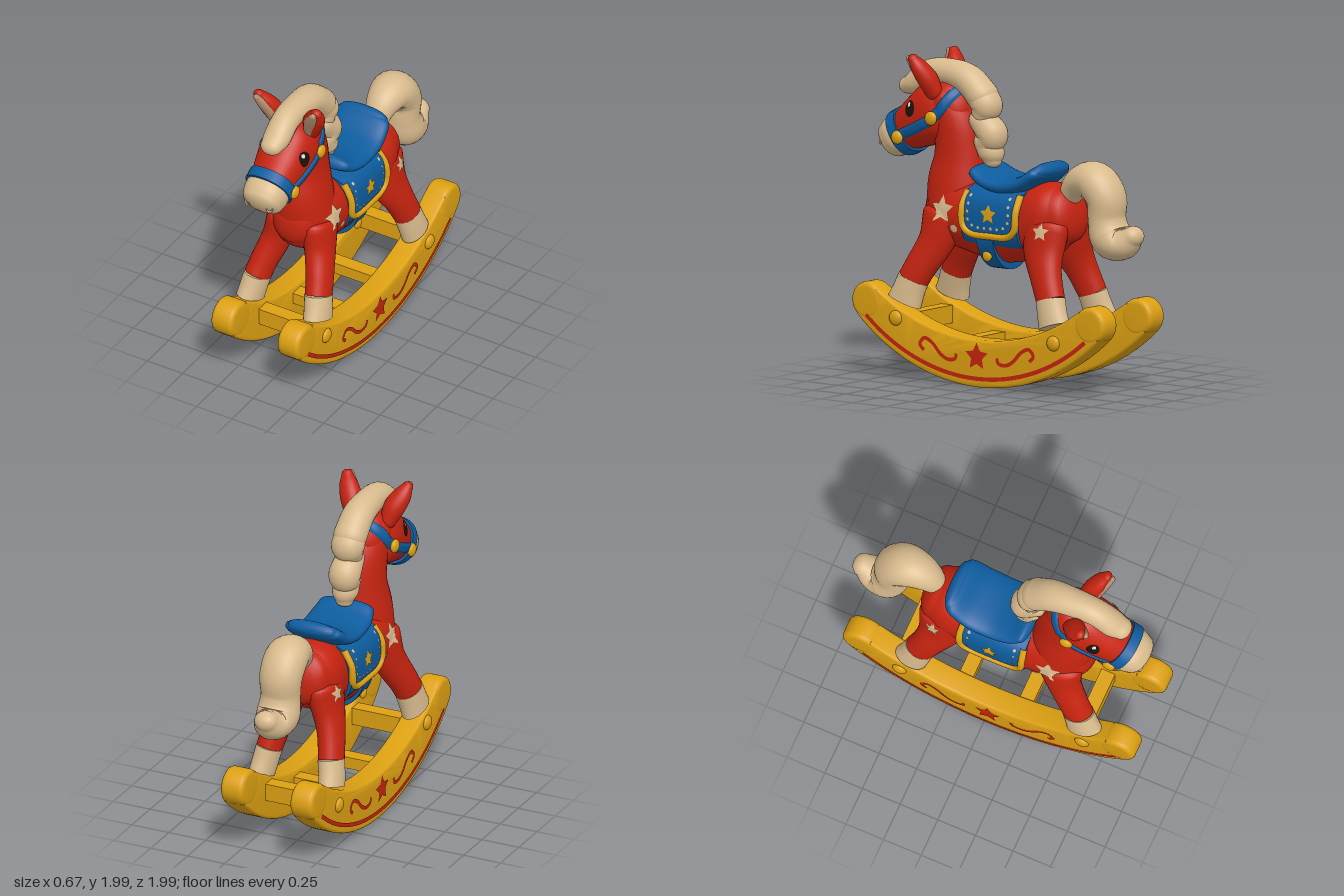
import * as THREE from 'three';
import { mergeGeometries, mergeVertices, toCreasedNormals } from 'three/addons/utils/BufferGeometryUtils.js';

const V = (x, y, z) => new THREE.Vector3(x, y, z);
const paint = (name, color) => Object.assign(new THREE.MeshStandardMaterial({ color }), { name });

// Skin over rows of [x, y, z, half width, half height], with domed ends of the given depths
function loft(rows, caps = [1, 1], e = 2, seg = 28) {
  const path = new THREE.CatmullRomCurve3(rows.map(r => V(r[0], r[1], r[2])), false, 'catmullrom');
  const size = new THREE.CatmullRomCurve3(rows.map(r => V(r[3], r[4], 0)), false, 'catmullrom');
  const rings = [], n = (rows.length - 1) * 6, dome = 6;
  for (let i = -dome; i <= n + dome; i++) {
    const t = Math.min(1, Math.max(0, i / n)), T = path.getTangent(t), s = size.getPoint(t);
    const over = i < 0 ? i : Math.max(0, i - n), phi = over / dome * Math.PI / 2;
    const depth = caps[i < 0 ? 0 : 1] * Math.min(s.x, s.y), k = Math.max(0, Math.cos(phi));
    rings.push({ c: path.getPoint(t).addScaledVector(T, depth * Math.sin(phi)), T, rx: s.x * k, ry: s.y * k });
  }
  const pos = [], idx = [], pw = c => Math.sign(c) * Math.abs(c) ** (2 / e);
  rings.forEach(({ c, T, rx, ry }, i) => {
    const side = V(1, 0, 0).addScaledVector(T, -T.x).normalize(), up = T.clone().cross(side);
    for (let j = 0; j < seg; j++) {
      const a = j / seg * 2 * Math.PI;
      const p = c.clone().addScaledVector(side, rx * pw(Math.cos(a))).addScaledVector(up, ry * pw(Math.sin(a)));
      pos.push(p.x, p.y, p.z);
      if (i === rings.length - 1) continue;
      const q = i * seg + j, r = i * seg + (j + 1) % seg;
      idx.push(q, r, q + seg, r, r + seg, q + seg);
    }
  });
  const g = new THREE.BufferGeometry();
  g.setAttribute('position', new THREE.Float32BufferAttribute(pos, 3));
  g.setIndex(idx);
  return toCreasedNormals(g, 0.9);
}

// Outermost x of the given meshes at a point of the side profile
function surface(...meshes) {
  const ray = new THREE.Raycaster();
  return (z, y) => {
    ray.set(V(2, y, z), V(-1, 0, 0));
    const hit = ray.intersectObjects(meshes)[0];
    return hit ? Math.max(hit.point.x, 0.05) : 0.05;
  };
}

// Thin sheet laid on a surface; at(u, v) gives [z, y]
function drape(at, nu, nv, xAt, lift = () => 0.006) {
  const pos = [], idx = [];
  for (let i = 0; i <= nu; i++) for (let j = 0; j <= nv; j++) {
    const [z, y] = at(i / nu, j / nv);
    pos.push(xAt(z, y) + lift(j / nv), y, z);
    const a = i * (nv + 1) + j, b = a + nv + 1;
    if (i < nu && j < nv) idx.push(a, b, a + 1, b, b + 1, a + 1);
  }
  const g = new THREE.BufferGeometry();
  g.setAttribute('position', new THREE.Float32BufferAttribute(pos, 3));
  g.setIndex(idx);
  g.computeVertexNormals();
  const nm = g.attributes.normal;
  let sum = 0;
  for (let i = 0; i < nm.count; i++) sum += nm.getX(i);
  if (sum < 0) { g.setIndex(idx.reverse()); g.computeVertexNormals(); }
  return g;
}
const star = (z, y, R, xAt) => drape((u, v) => {
  const a = Math.PI / 2 + u * 2 * Math.PI, r = R * v * (Math.round(u * 10) % 2 ? 0.5 : 1);
  return [z + r * Math.cos(a), y + r * Math.sin(a)];
}, 10, 4, xAt);
const disc = (z, y, rz, ry, xAt, lift = 0.006, n = 16) => drape((u, v) =>
  [z + rz * v * Math.cos(u * 2 * Math.PI), y + ry * v * Math.sin(u * 2 * Math.PI)], n, 3, xAt, () => lift);
function ribbon(pts, w, xAt, n, lift) {
  const c = new THREE.CatmullRomCurve3(pts.map(([z, y]) => V(0, y, z)));
  return drape((u, v) => {
    const p = c.getPoint(u), t = c.getTangent(u), k = (v - 0.5) * w;
    return [p.z - t.y * k, p.y + t.z * k];
  }, n, 6, xAt, lift);
}

// Side-profile shape given thickness along x with rounded edges
function slab(shape, x, width, bevel) {
  const g = new THREE.ExtrudeGeometry(shape, { depth: width - 2 * bevel, bevelSize: bevel, bevelThickness: bevel,
    bevelOffset: -bevel, bevelSegments: 4, curveSegments: 24 });
  g.translate(0, 0, -width / 2 + bevel).rotateY(-Math.PI / 2).translate(x, 0, 0);
  return toCreasedNormals(g, 0.7);
}
const knob = (x, y, z, r) => new THREE.SphereGeometry(r, 20, 14).scale(0.55, 1, 1).translate(x, y, z);

function mirrored(g) {
  const m = mergeVertices(g.clone());
  m.scale(-1, 1, 1);
  m.setIndex(Array.from(m.index.array).reverse());
  const nm = m.attributes.normal, p = mergeVertices(g).attributes.normal;
  for (let i = 0; i < nm.count; i++) nm.setXYZ(i, -p.getX(i), p.getY(i), p.getZ(i));
  return m;
}

export function createModel() {
  const model = new THREE.Group();
  model.name = 'rockingHorse';
  const red = paint('red', 0xc5230f), blue = paint('blue', 0x0d5c9e), yellow = paint('yellow', 0xdca012);
  const cream = paint('cream', 0xd9bb8e), dark = paint('dark', 0x1c100d), white = paint('white', 0xf0ece4);
  const earPink = paint('innerEar', 0xb28a6c);
  const add = (name, geo, mat) => {
    const m = new THREE.Mesh(geo, mat);
    m.name = name;
    model.add(m);
    return m;
  };
  const pair = (name, geo, mat) => {
    add(name + 'Right', mirrored(geo), mat);
    return add(name + 'Left', geo, mat);
  };

  // Body, neck and head
  const body = add('body', loft([[0, 1.06, .5, .15, .17], [0, 1.04, .4, .2, .215], [0, 1, .2, .205, .225], [0, .96, .03, .2, .215],
    [0, 1, -.18, .2, .215], [0, 1.06, -.33, .205, .215], [0, 1.08, -.43, .17, .175]], [.7, .55], 2.1, 40), red);
  const neck = add('neck', loft([[0, 1, .4, .2, .19], [0, 1.2, .4, .175, .2], [0, 1.38, .39, .147, .165],
    [0, 1.55, .41, .145, .15], [0, 1.7, .46, .15, .12]]), red);
  const head = add('head', loft([[0, 1.67, .44, .14, .17], [0, 1.63, .53, .168, .2], [0, 1.56, .66, .16, .168],
    [0, 1.49, .78, .135, .13]], [1, 0], 2.3, 36), red);
  const muzzle = add('muzzle', loft([[0, 1.49, .78, .134, .129], [0, 1.45, .85, .14, .13], [0, 1.425, .89, .128, .118]], [0, .5], 2.3), cream);

  // Legs and hooves
  const front = [[.12, 1, .42, .1, .15], [.15, .85, .46, .09, .118], [.195, .7, .54, .082, .103], [.215, .61, .588, .08, .1]];
  const rear = [[.11, 1, -.35, .1, .16], [.14, .85, -.36, .09, .14], [.18, .72, -.405, .082, .108], [.21, .575, -.465, .078, .095]];
  const frontLeg = pair('frontLeg', loft(front, [.6, 0]), red);
  const rearLeg = pair('rearLeg', loft(rear, [.6, 0]), red);
  pair('frontHoof', loft([[.215, .615, .586, .082, .103], [.228, .54, .612, .08, .108], [.238, .475, .634, .078, .118]], [0, 0]), cream);
  pair('rearHoof', loft([[.209, .58, -.464, .08, .097], [.224, .5, -.487, .078, .1], [.236, .425, -.512, .076, .107]], [0, 0]), cream);

  // Ears
  const ear = [[.12, 1.76, .5, .05, .055], [.145, 1.84, .53, .068, .06], [.18, 1.91, .565, .06, .05], [.205, 1.965, .595, .035, .03]];
  pair('ear', loft(ear), red);
  pair('innerEar', loft(ear.map(([x, y, z, a, b]) => [x - .005, y, z + .035, a * .6, b * .6])), earPink);

  // Mane with forelock, and tail
  add('mane', loft([[0, 1.765, .785, .07, .055], [0, 1.79, .72, .085, .075], [0, 1.86, .61, .085, .08], [0, 1.87, .47, .09, .085],
    [0, 1.84, .33, .1, .092], [0, 1.75, .22, .105, .095]], [1, 1]), cream);
  add('maneCurls', mergeGeometries([
    loft([[0, 1.76, .26, .09, .08], [0, 1.7, .19, .105, .095], [0, 1.64, .2, .09, .08]]),
    loft([[0, 1.6, .22, .09, .08], [0, 1.52, .145, .1, .095], [0, 1.46, .17, .085, .08]]),
    loft([[0, 1.47, .19, .08, .075], [0, 1.4, .15, .08, .08], [0, 1.35, .14, .055, .055]], [1, .7])]), cream);
  add('tail', loft([[0, 1.17, -.43, .06, .06], [0, 1.28, -.52, .105, .095], [0, 1.305, -.64, .135, .12], [0, 1.21, -.73, .135, .118],
    [0, 1.08, -.735, .125, .112], [0, .97, -.77, .135, .128], [0, .94, -.86, .115, .1], [0, .99, -.935, .075, .065]]), cream);

  // Face
  const headX = surface(head, neck);
  pair('eye', disc(.657, 1.647, .04, .05, headX), dark);
  pair('eyeGlint', disc(.665, 1.672, .012, .014, headX, .01), white);
  const nostril = new THREE.TorusGeometry(.026, .006, 8, 20).scale(.75, 1.25, 1).rotateX(-.2).rotateY(.35).translate(.078, 1.43, .935);
  pair('nostril', nostril, cream);

  // Bridle
  add('noseband', loft([[0, 1.499, .763, .152, .15], [0, 1.466, .823, .152, .15]], [0, 0], 2.3), blue);
  pair('cheekStrap', ribbon([[.77, 1.465], [.62, 1.53], [.485, 1.605], [.42, 1.68], [.355, 1.785]], .07, headX, 30,
    v => .014 * (1 - (2 * v - 1) ** 8) - .002), blue);
  pair('bridleKnobs', mergeGeometries([knob(headX(.485, 1.605) + .012, 1.605, .485, .043), knob(.152, 1.46, .76, .042)]), yellow);

  // Girth, saddle cloth and saddle
  add('girth', loft([[0, .955, .11, .212, .25], [0, .955, .05, .212, .25], [0, .955, -.015, .212, .25]], [0, 0], 2, 40), blue);
  pair('girthKnob', knob(.172, .8, .052, .034), yellow);
  const cloth = add('saddleCloth', loft([[0, 1.03, .218, .222, .19], [0, 1.03, .1, .228, .2], [0, 1.03, -.1, .228, .2],
    [0, 1.03, -.21, .222, .19]], [0, 0], 3, 48), blue);
  const clothX = surface(cloth, body);
  const edge = [[.205, 1.19], [.21, 1.09], [.2, .98], [.15, .938], [0, .93], [-.14, .938], [-.19, .98], [-.202, 1.09], [-.197, 1.19]];
  pair('clothTrim', new THREE.TubeGeometry(new THREE.CatmullRomCurve3(edge.map(([z, y]) => V(clothX(z, y), y, z))), 60, .022, 10), yellow);
  pair('clothStar', star(0, 1.065, .062, clothX), yellow);
  const seam = new THREE.CatmullRomCurve3([[.155, 1.17], [.155, 1.02], [.11, .985], [0, .98], [-.1, .985], [-.145, 1.02], [-.145, 1.17]]
    .map(([z, y]) => V(0, y, z)));
  const stitches = seam.getSpacedPoints(13).map(p => disc(p.z, p.y, .01, .01, clothX, .006, 8));
  pair('clothStitches', mergeGeometries(stitches), cream);
  add('saddle', loft([[0, 1.3, .18, .18, .045], [0, 1.255, .1, .2, .05], [0, 1.23, -.03, .205, .052], [0, 1.255, -.17, .205, .052],
    [0, 1.325, -.28, .19, .05], [0, 1.35, -.31, .16, .045]], [.9, .9], 2.5, 36), blue);

  // Painted stars on the flanks
  const flankX = surface(body, neck, frontLeg, rearLeg);
  pair('shoulderStar', star(.375, 1.06, .09, flankX), cream);
  pair('shoulderDot', disc(.285, .95, .026, .024, flankX), cream);
  pair('hipStar', star(-.385, .99, .058, flankX), cream);

  // Rockers with rounded ends
  const mid = .025, arc = (d, cy, r) => cy - Math.sqrt(r * r - d * d), pts = [];
  for (let i = 0; i <= 40; i++) { const d = -.93 + i * .0465; pts.push(new THREE.Vector2(mid + d, arc(d, 1.37, 1.36))); }
  for (let i = 0; i <= 40; i++) { const d = .78 - i * .039; pts.push(new THREE.Vector2(mid + d, arc(d, 1.64, 1.34))); }
  pair('rocker', slab(new THREE.Shape(pts), .235, .146, .018), yellow);
  for (const [name, s] of [['front', 1], ['rear', -1]])
    pair(name + 'RockerEnd', slab(new THREE.Shape().absellipse(mid + s * .855, .465, .115, .115, 0, Math.PI * 2), .235, .152, .03), yellow);
  pair('rockerPegs', mergeGeometries([knob(.308, .38, .65, .047), knob(.308, .335, -.56, .047)]), yellow);

  // Crossbars
  for (const [z, y, h] of [[.62, .355, .11], [.22, .245, .075], [-.18, .245, .075], [-.57, .345, .11]])
    add('crossbar', new THREE.BoxGeometry(.36, h, .09).translate(0, y, z), yellow);

  // Painted rocker decoration
  const face = () => .307, stripe = [];
  for (let i = 0; i <= 16; i++) { const d = -.83 + i * .105; stripe.push([mid + d, arc(d, 1.37, 1.305)]); }
  pair('rockerStripe', ribbon(stripe, .026, face, 60), red);
  pair('rockerStar', star(mid, .2, .088, face), red);
  const scroll = [[.405, .205], [.435, .24], [.4, .28], [.34, .255], [.28, .195], [.22, .165], [.165, .175], [.155, .205]];
  for (const s of [1, -1])
    pair(s > 0 ? 'frontScroll' : 'rearScroll', ribbon(scroll.map(([d, y]) => [mid + s * d, y]), .023, face, 40), red);

  return model;
}
